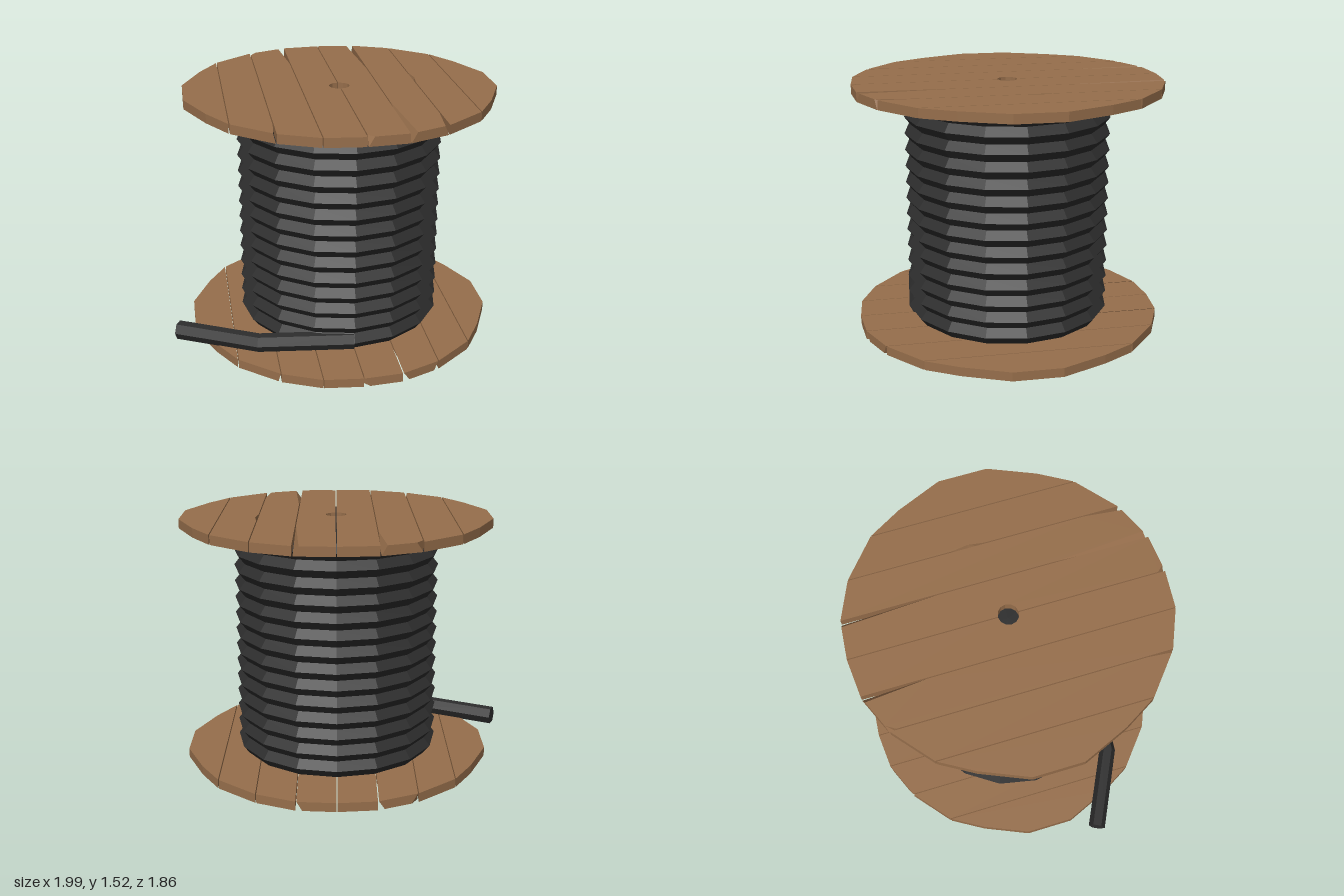
import * as THREE from 'three';

const CX = 0.067;          // spool axis in x
const T = 0.055;           // flange thickness
const TOP = 1.52;          // overall height
const PITCH = 0.233;       // plank width
const GAP = 0.003;         // half the gap between planks
const HOLE = 0.06;

// half outline of a flange: [distance from axis in x, half length in z]
const OUTLINE = [[0, 0.93], [0.233, 0.91], [0.466, 0.81], [0.7, 0.615], [0.815, 0.42], [0.933, 0.145]];

function halfLength(x) {
  const a = Math.abs(x);
  for (let i = 1; i < OUTLINE.length; i++) {
    const [x0, z0] = OUTLINE[i - 1], [x1, z1] = OUTLINE[i];
    if (a <= x1) return z0 + (z1 - z0) * (a - x0) / (x1 - x0);
  }
  return OUTLINE.at(-1)[1];
}

// splintered plank edges: [z, cut width] stations, |z| = 1 means the plank end
const CUTS = {
  '1R': [[0.66, 0], [1, 0.012]],
  '2L': [[-1, 0.035], [-0.77, 0]],
  '2R': [[-1, 0.033], [-0.53, 0]],
  '4L': [[0.89, 0], [1, 0.033]],
  '4R': [[-1, 0.033], [-0.35, 0]],
  '5L': [[0.35, 0], [1, 0.037]],
  '5R': [[0.6, 0], [1, 0.024]],
  '6L': [[-0.2, 0], [-0.1, 0.014], [0, 0]],
};

// one long edge of a plank, from back to front
function plankSide(index, side, x) {
  const inward = side === 'L' ? 1 : -1;
  const stations = [...(CUTS[index + side] || [])];
  if (!stations.length || stations[0][0] !== -1) stations.unshift([-1, 0]);
  if (stations.at(-1)[0] !== 1) stations.push([1, 0]);
  const pts = stations.map(([z, w]) => {
    const end = Math.abs(z) === 1, cx = x + inward * w;
    return { x: cx, z: end ? z * halfLength(cx) : z, bx: x, bz: end ? z * halfLength(x) : z };
  });
  // half of the axle hole in the two middle planks
  if ((index === 3 && side === 'R') || (index === 4 && side === 'L')) {
    const arc = [];
    for (let k = 0; k <= 6; k++) {
      const a = Math.PI * k / 6;
      const px = x + inward * HOLE * Math.sin(a), pz = -HOLE * Math.cos(a);
      arc.push({ x: px, z: pz, bx: px, bz: pz });
    }
    pts.splice(1, 0, ...arc);
  }
  return pts;
}

function plankGeometry(index, cutOnTop) {
  const x0 = (index - 4) * PITCH + (index > 0 ? GAP : 0);
  const x1 = (index - 3) * PITCH - (index < 7 ? GAP : 0);
  const corner = (sx, sz) => ({ x: sx * 0.815, z: sz * 0.42, bx: sx * 0.815, bz: sz * 0.42 });
  const left = plankSide(index, 'L', x0), right = plankSide(index, 'R', x1).reverse();
  const sx = index === 0 ? -1 : 1, outer = index === 0 || index === 7;
  const pts = [...left, ...(outer ? [corner(sx, 1)] : []), ...right, ...(outer ? [corner(sx, -1)] : [])];
  const shape = new THREE.Shape(pts.map(p => new THREE.Vector2(p.x, -p.z)));
  const geo = new THREE.ExtrudeGeometry(shape, { depth: T, bevelEnabled: false });
  geo.rotateX(-Math.PI / 2);
  // the splinters fade out through the thickness: inner face keeps straight edges
  const pos = geo.attributes.position;
  for (let i = 0; i < pos.count; i++) {
    if ((pos.getY(i) > T / 2) === cutOnTop) continue;
    const x = pos.getX(i), z = pos.getZ(i);
    const p = pts.find(q => Math.abs(q.x - x) < 1e-5 && Math.abs(q.z - z) < 1e-5);
    if (p) { pos.setX(i, p.bx); pos.setZ(i, p.bz); }
  }
  geo.computeVertexNormals();
  return geo;
}

function flange(name, y, cutOnTop, material) {
  const group = new THREE.Group();
  group.name = name;
  for (let i = 0; i < 8; i++) {
    const plank = new THREE.Mesh(plankGeometry(i, cutOnTop), material);
    plank.name = 'plank' + (i + 1);
    group.add(plank);
  }
  group.position.set(CX, y, 0);
  return group;
}

// wound cable: stacked ridges turned around the axis
function coilGeometry() {
  const turns = 14, y0 = T, step = (TOP - 2 * T) / turns;
  const profile = [new THREE.Vector2(0, y0), new THREE.Vector2(0.585, y0)];
  for (let i = 0; i < turns; i++) {
    profile.push(new THREE.Vector2(0.625, y0 + step * (i + 0.5)));
    profile.push(new THREE.Vector2(0.585, y0 + step * (i + 1)));
  }
  profile.push(new THREE.Vector2(0, TOP - T));
  const geo = new THREE.LatheGeometry(profile, 16).toNonIndexed();
  geo.computeVertexNormals();
  return geo;
}

// loose cable end: hexagonal section swept along a bent path
function tailGeometry() {
  const path = [[CX, 0.573], [-0.5, 0.52], [-0.972, 0.288]].map(p => new THREE.Vector2(...p));
  const y = 0.101, v = [], rings = [];
  path.forEach((p, i) => {
    const dir = path[Math.min(i + 1, 2)].clone().sub(p).normalize();
    if (i > 0) dir.add(p.clone().sub(path[i - 1]).normalize()).normalize();
    if (i === 2) dir.copy(p).sub(path[1]).normalize();
    const ring = [];
    for (let k = 0; k < 6; k++) {
      const a = Math.PI * k / 3, w = 0.053 * Math.cos(a);
      ring.push([p.x + dir.y * w, y + 0.0577 * Math.sin(a), p.y - dir.x * w]);
    }
    rings.push(ring);
  });
  for (let k = 0; k < 6; k++) {
    const n = (k + 1) % 6;
    for (let i = 0; i < 2; i++) {
      const a = rings[i][k], b = rings[i][n], c = rings[i + 1][k], d = rings[i + 1][n];
      v.push(...a, ...b, ...c, ...b, ...d, ...c);
    }
    v.push(path[2].x, y, path[2].y, ...rings[2][k], ...rings[2][n]);
    v.push(path[0].x, y, path[0].y, ...rings[0][n], ...rings[0][k]);
  }
  const geo = new THREE.BufferGeometry();
  geo.setAttribute('position', new THREE.Float32BufferAttribute(v, 3));
  geo.computeVertexNormals();
  return geo;
}

export function createModel() {
  const wood = new THREE.MeshStandardMaterial({ color: 0x966e4b });
  wood.name = 'wood';
  const rubber = new THREE.MeshStandardMaterial({ color: 0x2d2d2d });
  rubber.name = 'black rubber';

  const model = new THREE.Group();
  model.name = 'cableSpool';
  model.add(flange('bottomFlange', 0, false, wood));
  model.add(flange('topFlange', TOP - T, true, wood));

  const coil = new THREE.Mesh(coilGeometry(), rubber);
  coil.name = 'cableCoil';
  coil.position.x = CX;
  model.add(coil);

  const tail = new THREE.Mesh(tailGeometry(), rubber);
  tail.name = 'cableEnd';
  model.add(tail);
  return model;
}
